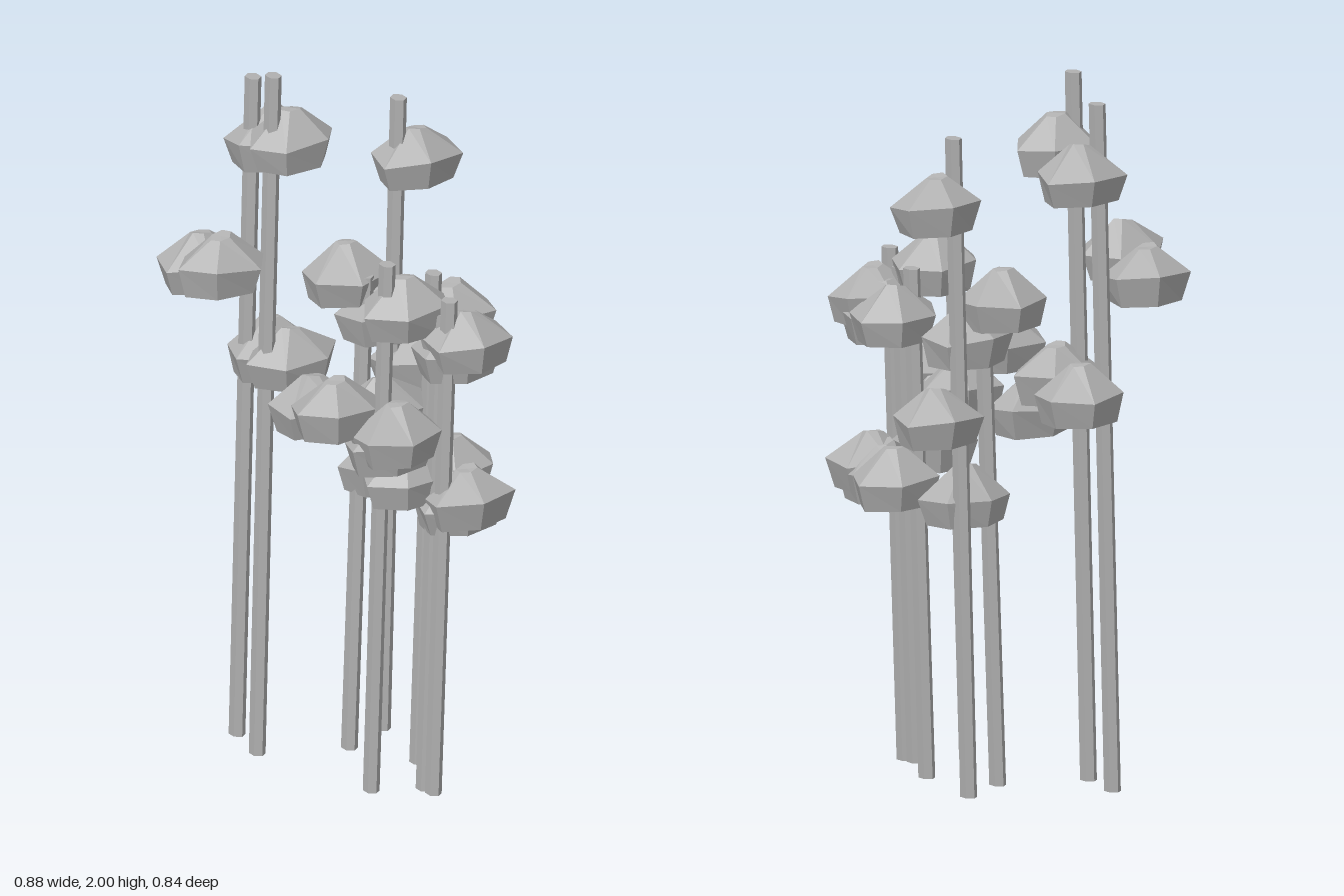
import * as THREE from 'three';

const grey = new THREE.MeshStandardMaterial({ color: 0xb0b0b0 });
grey.name = 'grey';

// Each plant: stem top x, stem z, height, rotation of its caps in degrees
const PLANTS = [
  [-0.125, -0.325, 1.94, 40],
  [-0.15, -0.18, 2.0, 0],
  [0.235, -0.15, 1.86, 35],
  [0.19, 0.105, 1.44, 48],
  [-0.025, 0.21, 1.55, 50],
  [0.11, 0.315, 1.45, 33],
  [0.085, -0.08, 1.39, 22],
  [0.105, 0.275, 1.4, 40],
];
const LEAN = 0.052;

// Caps on a stem: height of the base as a share of the stem, x offset from the stem top
const CAPS = [
  [0.863, 0.057],
  [0.702, -0.168],
  [0.542, 0.057],
];

// Hexagonal stem leaning slightly towards +x
function makeStem(height) {
  const geo = new THREE.CylinderGeometry(0.027, 0.027, height, 6).toNonIndexed();
  geo.scale(0.8, 1, 1);
  geo.translate(0, height / 2, 0);
  const p = geo.attributes.position;
  for (let i = 0; i < p.count; i++) {
    p.setX(i, p.getX(i) + LEAN * (p.getY(i) / height - 1));
  }
  geo.computeVertexNormals();
  return new THREE.Mesh(geo, grey);
}

// Faceted six-sided cap: flat base, wide rim, small flat crown
function makeCap(degrees, seed) {
  const profile = [[0, 0], [0.82, 0], [1, 0.078], [0.23, 0.158], [0, 0.158]]
    .map(([r, y]) => new THREE.Vector2(r, y));
  const start = Math.PI / 2 - THREE.MathUtils.degToRad(degrees);
  const geo = new THREE.LatheGeometry(profile, 6, start).toNonIndexed();
  const p = geo.attributes.position;
  for (let i = 0; i < p.count; i++) {
    const x = p.getX(i), y = p.getY(i), z = p.getZ(i);
    // gentle unevenness that depends only on position
    const k = 1 + 0.05 * Math.sin(3 * x + 4 * z + seed);
    const lift = y > 0.01 ? 0.008 * Math.sin(4 * x - 3 * z + seed * 2) : 0;
    p.setXYZ(i, x * k * 0.138, y + lift, z * k * 0.1);
  }
  geo.computeVertexNormals();
  return new THREE.Mesh(geo, grey);
}

export function createModel() {
  const model = new THREE.Group();
  model.name = 'cappedStalks';
  PLANTS.forEach(([x, z, height, degrees], i) => {
    const plant = new THREE.Group();
    plant.name = `stalk${i + 1}`;
    plant.position.set(x, 0, z);

    const stem = makeStem(height);
    stem.name = 'stem';
    plant.add(stem);

    CAPS.forEach(([share, dx], j) => {
      const cap = makeCap(degrees, i + j * 2);
      cap.name = ['upperCap', 'middleCap', 'lowerCap'][j];
      cap.position.set(dx, share * height, 0);
      plant.add(cap);
    });
    model.add(plant);
  });
  return model;
}
